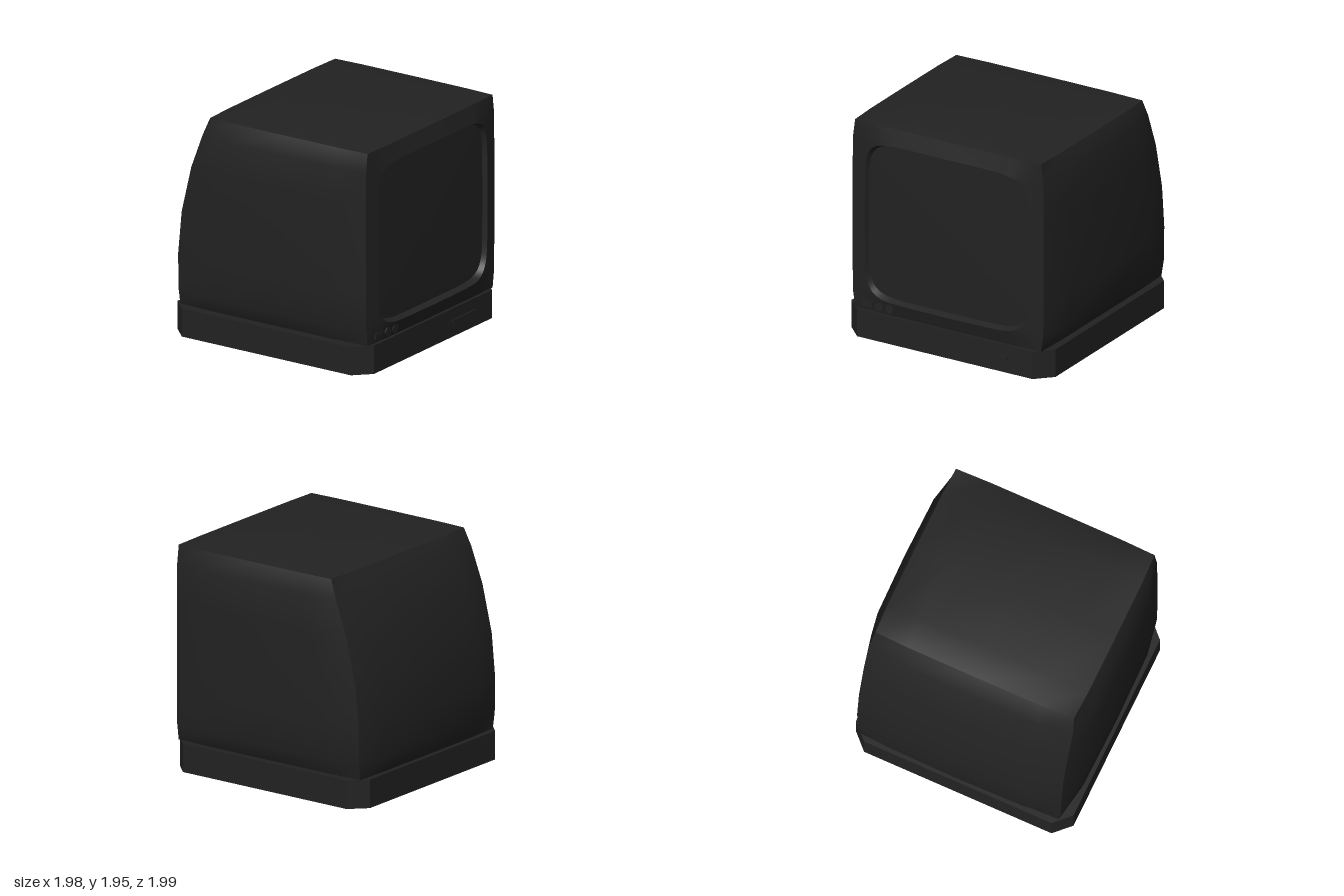
import * as THREE from 'three';

// Shell rows: height, back corner x, half depth at the corners, amount of bulge
const ROWS = [
  [0.24, -0.915, 0.89, 0.15], [0.38, -0.92, 0.91, 0.85], [0.68, -0.92, 0.915, 0.97],
  [1.05, -0.885, 0.915, 1], [1.45, -0.79, 0.915, 0.96], [1.75, -0.68, 0.91, 0.83], [1.9, -0.62, 0.89, 0.15],
];
const COLS = [-1, -0.67, 0, 0.67, 1];
const FRONT = 0.94;
const lerp = THREE.MathUtils.lerp;

// Horizontal bulge: zero at the corners, full in the middle
function bulge(t) {
  const a = Math.min(Math.abs(t), 1);
  return a < 0.67 ? lerp(1, 0.85, a / 0.67) : lerp(0.85, 0, (a - 0.67) / 0.33);
}

// Row values interpolated at any height
function rowAt(y) {
  let i = 0;
  while (i < ROWS.length - 2 && y > ROWS[i + 1][0]) i++;
  const k = (y - ROWS[i][0]) / (ROWS[i + 1][0] - ROWS[i][0]);
  return ROWS[i].map((v, n) => lerp(v, ROWS[i + 1][n], k));
}

// Surface through a grid of points
function patch(grid) {
  const n = grid[0].length;
  const index = [];
  for (let i = 0; i < grid.length - 1; i++) {
    for (let j = 0; j < n - 1; j++) {
      const a = i * n + j, b = a + n;
      index.push(a, b, b + 1, a, b + 1, a + 1);
    }
  }
  const g = new THREE.BufferGeometry();
  g.setAttribute('position', new THREE.Float32BufferAttribute(grid.flat(2), 3));
  g.setIndex(index);
  g.computeVertexNormals();
  return g;
}

export function createModel() {
  const model = new THREE.Group();
  model.name = 'monitor';
  const plastic = new THREE.MeshStandardMaterial({ color: 0x222222, side: THREE.DoubleSide });
  plastic.name = 'charcoal plastic';
  const add = (name, geometry, x = 0, y = 0, z = 0) => {
    const mesh = new THREE.Mesh(geometry, plastic);
    mesh.name = name;
    mesh.position.set(x, y, z);
    model.add(mesh);
    return mesh;
  };

  // Bulged side walls
  for (const s of [1, -1]) {
    add(s > 0 ? 'sideWallPositive' : 'sideWallNegative', patch(COLS.map((c) => ROWS.map(([y, back, half, k]) =>
      [lerp(back, FRONT, (s * c + 1) / 2), y, s * (half + 0.08 * k * bulge(c))]))));
  }

  // Curved sloping rear wall
  add('rearWall', patch(COLS.map((c) => ROWS.map(([y, back, half, k]) =>
    [back - 0.08 * k * bulge(c), y, c * half]))));

  // Slightly domed top
  const [topY, topBack, topHalf, topK] = ROWS[ROWS.length - 1];
  add('top', patch(COLS.map((w) => COLS.map((u) => [
    lerp(topBack - 0.08 * topK * bulge(w), FRONT + 0.06 * topK * bulge(w), (u + 1) / 2),
    topY + 0.053 * bulge(u) * bulge(w),
    w * (topHalf + 0.08 * topK * bulge(u)),
  ]))));

  // Front bezel: rings from the rectangular edge to the rounded opening
  const N = 64, midY = 1.06, halfY = 0.7, halfZ = 0.785;
  const rounded = Array.from({ length: N + 1 }, (_, j) => {
    const a = (j / N) * Math.PI * 2;
    const f = (v) => Math.sign(v) * Math.pow(Math.abs(v), 2 / 7);
    return [f(Math.cos(a)), f(Math.sin(a))];
  });
  const bezelPoint = (p, q, k) => {
    const m = Math.max(Math.abs(p), Math.abs(q));
    const edgeY = q > 0 ? lerp(midY, 1.9, q / m) : lerp(midY, 0.24, -q / m);
    const y = lerp(edgeY, midY + q * halfY, k);
    const z = lerp((p / m) * rowAt(edgeY)[2], p * halfZ, k);
    const row = rowAt(y);
    return [FRONT + 0.06 * row[3] * bulge(z / row[2]), y, z];
  };
  add('frontBezel', patch([0, 0.35, 0.7, 1].map((k) => rounded.map(([p, q]) => bezelPoint(p, q, k)))));

  // Recess wall and gently convex screen
  const screenPoint = (p, q, r) => [0.925 + 0.015 * (1 - r * r), midY + q * r * (halfY - 0.02), p * r * (halfZ - 0.02)];
  add('screenRecess', patch([
    rounded.map(([p, q]) => bezelPoint(p, q, 1)),
    rounded.map(([p, q]) => screenPoint(p, q, 1)),
  ]));
  add('screen', patch([1, 0.75, 0.5, 0.25, 0].map((r) => rounded.map(([p, q]) => screenPoint(p, q, r)))));

  // Base slab with cut corners
  const [x0, x1, z0, z1, c] = [-0.97, 0.975, -0.965, 0.985, 0.135];
  const outline = [[x0 + c, z0], [x1 - c, z0], [x1, z0 + c], [x1, z1 - c],
    [x1 - c, z1], [x0 + c, z1], [x0, z1 - c], [x0, z0 + c]];
  const slab = new THREE.ExtrudeGeometry(
    new THREE.Shape(outline.map(([x, z]) => new THREE.Vector2(x, -z))), { depth: 0.243, bevelEnabled: false });
  slab.rotateX(-Math.PI / 2);
  add('base', slab);

  // Power switch and two knobs under the screen
  add('powerSwitch', new THREE.BoxGeometry(0.04, 0.048, 0.1), 0.945, 0.304, 0.757);
  for (const z of [0.64, 0.54]) {
    add('knob', new THREE.CylinderGeometry(0.038, 0.038, 0.05, 16), 0.95, 0.304, z).rotation.z = -Math.PI / 2;
  }

  // Slider and its small button on the base
  add('baseSlider', new THREE.BoxGeometry(0.03, 0.038, 0.33), 0.972, 0.128, -0.432);
  add('baseButton', new THREE.BoxGeometry(0.03, 0.024, 0.055), 0.968, 0.128, -0.238);

  return model;
}
